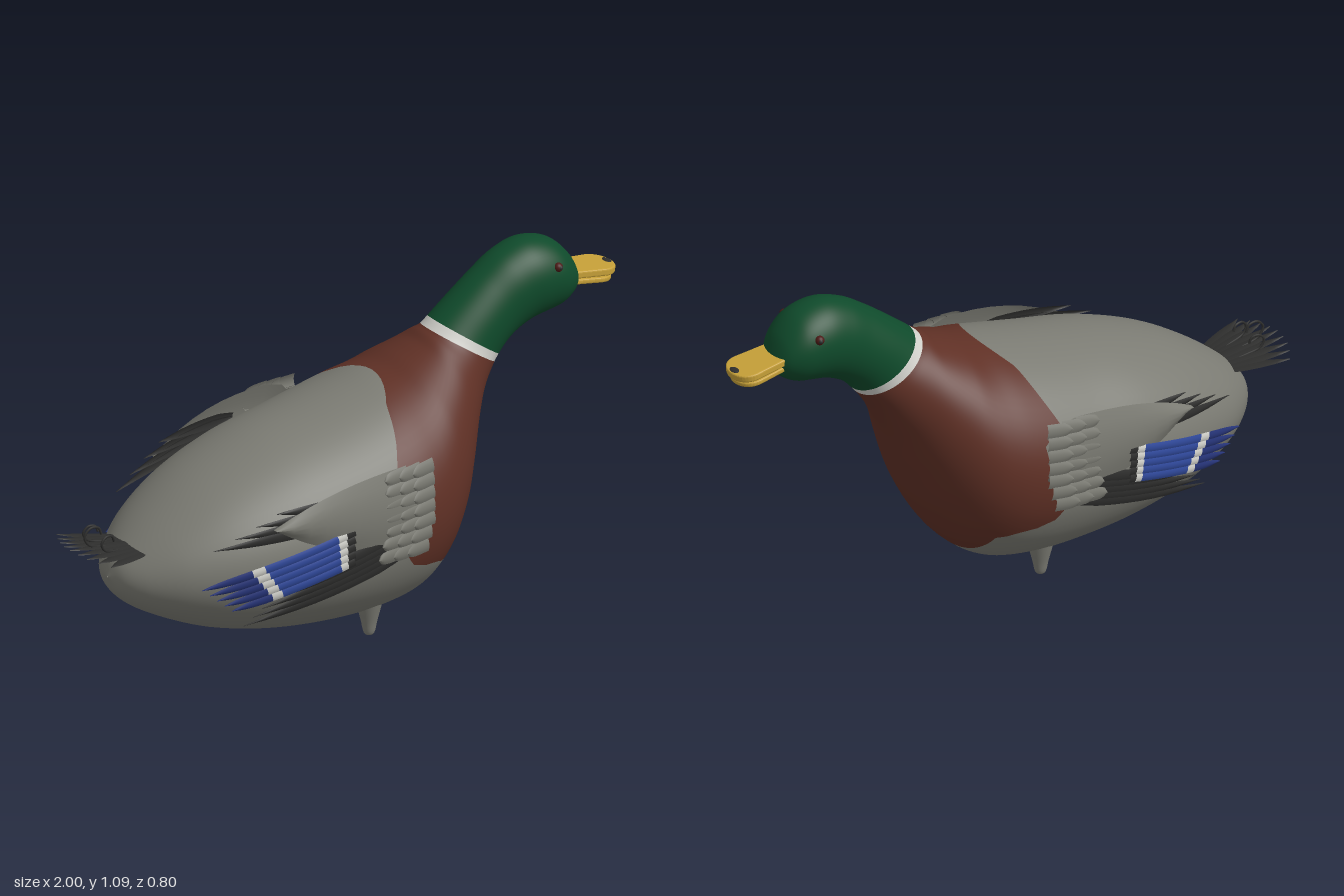
import * as THREE from 'three';

const mat = (name, color) => {
  const m = new THREE.MeshStandardMaterial({ color, side: THREE.DoubleSide });
  m.name = name;
  return m;
};

// Body sections from tail to bill: top x, top y, bottom x, bottom y, half width
const sections = [
  [-.862, .347, -.862, .343, .003], [-.842, .395, -.845, .295, .07], [-.8, .44, -.8, .245, .135],
  [-.7, .52, -.7, .185, .225], [-.55, .61, -.55, .12, .3], [-.35, .685, -.35, .07, .35],
  [-.15, .73, -.13, .045, .367], [0, .765, .03, .047, .37], [.08, .785, .16, .075, .36],
  [.15, .8, .25, .145, .335], [.2, .82, .33, .27, .295], [.24, .835, .39, .42, .245],
  [.275, .85, .44, .56, .195], [.3, .868, .49, .66, .15], [.32, .878, .54, .73, .122],
  [.345, .9, .557, .75, .116], [.42, .96, .59, .785, .111], [.5, 1.02, .63, .81, .108],
  [.58, 1.07, .68, .83, .111], [.67, 1.095, .73, .84, .114], [.76, 1.075, .78, .85, .106],
  [.82, 1.02, .82, .873, .08], [.847, .965, .845, .9, .045], [.856, .934, .856, .928, .003]];
const topLine = new THREE.CatmullRomCurve3(sections.map(s => new THREE.Vector3(s[0], s[1], 0)));
const lowLine = new THREE.CatmullRomCurve3(sections.map(s => new THREE.Vector3(s[2], s[3], s[4])));
const LAST = sections.length - 1;

// Point on the body skin at section number u and angle a
function skin(u, a) {
  const t = topLine.getPoint(u / LAST), b = lowLine.getPoint(u / LAST);
  const k = (1 + Math.sin(a)) / 2;
  return [b.x + (t.x - b.x) * k, b.y + (t.y - b.y) * k, b.z * Math.cos(a)];
}

function loft(from, to, steps, around = 72) {
  const pos = [], idx = [];
  for (let i = 0; i <= steps; i++) {
    for (let j = 0; j < around; j++) {
      const a = j / around * Math.PI * 2, u0 = from(a);
      pos.push(...skin(u0 + (to(a) - u0) * i / steps, a));
      if (i === steps) continue;
      const p = i * around + j, q = i * around + (j + 1) % around;
      idx.push(p, p + around, q + around, p, q + around, q);
    }
  }
  const g = new THREE.BufferGeometry();
  g.setAttribute('position', new THREE.Float32BufferAttribute(pos, 3));
  g.setIndex(idx);
  g.computeVertexNormals();
  return g;
}

// Edge of the breast patch: [sine of angle, x]
const edge = [[-1, .22], [-.64, .2], [-.48, .14], [-.36, .04], [-.2, 0], [0, -.02], [.5, -.01], [.72, .03], [.9, .06], [1, .115]];
function breastEdge(a) {
  const s = Math.sin(a);
  let i = 0;
  while (i < edge.length - 2 && s > edge[i + 1][0]) i++;
  const [p, q] = [edge[i], edge[i + 1]];
  const x = p[1] + (q[1] - p[1]) * (s - p[0]) / (q[0] - p[0]);
  let lo = 4, hi = 12;
  for (let k = 0; k < 24; k++) {
    const mid = (lo + hi) / 2;
    if (skin(mid, a)[0] < x) lo = mid; else hi = mid;
  }
  return lo;
}

// Feather outlines: half width along the length
const pointed = s => Math.min(1, .5 + 3 * s) * (1 - s ** 3);
const square = s => 1 - s ** 10;
const rounded = s => Math.sqrt(Math.max(0, 1 - s ** 5));
const shell = s => Math.min(1, Math.sqrt(s * 6 + .2)) * (1 - s ** 2.6);

// Thin feather from a to b in a plane, laid on a surface by place(p, q, lift)
function feather(a, b, w, outline, place, lift = 0, bulge = .004, s0 = 0, s1 = 1) {
  const g = new THREE.PlaneGeometry(1, 1, 10, 6), P = g.attributes.position;
  const dx = b[0] - a[0], dy = b[1] - a[1], len = Math.hypot(dx, dy);
  for (let i = 0; i < P.count; i++) {
    const s = s0 + (s1 - s0) * (P.getX(i) + .5), t = P.getY(i) * 2;
    const h = w * outline(s) * t;
    P.setXYZ(i, ...place(a[0] + dx * s - dy / len * h, a[1] + dy * s + dx / len * h, lift + bulge * (1 - t * t)));
  }
  g.computeVertexNormals();
  return g;
}

export function createModel() {
  const root = new THREE.Group();
  root.name = 'duck';
  const grey = mat('grey plumage', 0x7b7b73), brown = mat('chestnut', 0x5f3025), white = mat('white', 0xd0d0ca),
    green = mat('head green', 0x0f4a2b), yellow = mat('bill yellow', 0xc6a038), dark = mat('dark feather', 0x2e2e2d),
    blue = mat('wing blue', 0x2f489a), navy = mat('deep blue', 0x263478), red = mat('eye red brown', 0x4a1a16);
  const add = (parent, name, geo, m) => {
    const mesh = new THREE.Mesh(geo, m);
    mesh.name = name;
    parent.add(mesh);
    return mesh;
  };

  // Body, breast, collar and head share one continuous skin
  add(root, 'body', loft(() => 0, breastEdge, 48), grey);
  add(root, 'breast', loft(breastEdge, () => 14, 36), brown);
  add(root, 'collar', loft(() => 14, () => 15, 3), white);
  add(root, 'head', loft(() => 15, () => LAST, 56), green);

  // Bill: two thin plates with rounded tips
  const bill = new THREE.Group();
  bill.name = 'bill';
  bill.position.set(.8, .957, 0);
  bill.rotation.z = -.13;
  root.add(bill);
  const plate = (len, w, depth) => {
    const s = new THREE.Shape();
    s.moveTo(0, -w * .85);
    s.lineTo(len - .06, -w);
    s.bezierCurveTo(len + .012, -w, len + .012, w, len - .06, w);
    s.lineTo(0, w * .85);
    s.closePath();
    return new THREE.ExtrudeGeometry(s, { depth, bevelThickness: .006, bevelSize: .005, bevelSegments: 3, curveSegments: 20 }).rotateX(Math.PI / 2);
  };
  add(bill, 'upperBill', plate(.2, .062, .012), yellow);
  const lower = add(bill, 'lowerBill', plate(.19, .058, .005), yellow);
  lower.position.y = -.027;
  lower.rotation.z = -.02;
  const nail = add(bill, 'billNail', new THREE.SphereGeometry(1, 16, 10), dark);
  nail.scale.set(.012, .004, .02);
  nail.position.set(.182, .006, 0);

  // Tail fan
  const tail = new THREE.Group();
  tail.name = 'tail';
  root.add(tail);
  for (let i = -4; i <= 4; i++) {
    const spread = Math.abs(i) / 4;
    add(tail, 'tailFeather', feather([-.77, i * .016], [-1 + .05 * spread ** 2, i * .037], .024, pointed,
      (x, z, l) => [x, .432 + (-.78 - x) * .12 + l, z], .002 * (4 - Math.abs(i)), .003), dark);
  }
  // Curled feathers over the tail
  for (const [z, k] of [[-.035, .8], [0, 1], [.035, .8]]) {
    const pts = [[-.8, .435], [-.87, .45], [-.93, .468], [-.947, .5], [-.925, .523], [-.895, .518], [-.885, .495]]
      .map(([x, y]) => new THREE.Vector3(-.8 + (x + .8) * k, .435 + (y - .435) * k, z * (1 + (-.8 - x) * 3)));
    add(tail, 'tailCurl', new THREE.TubeGeometry(new THREE.CatmullRomCurve3(pts), 32, .004, 6), dark);
  }

  for (const side of [1, -1]) {
    // Eye
    const eye = add(root, 'eye', new THREE.SphereGeometry(.015, 16, 12), red);
    eye.position.set(.735, 1.015, side * .1);
    const pupil = add(root, 'pupil', new THREE.SphereGeometry(.008, 12, 8), dark);
    pupil.position.set(.737, 1.016, side * .109);

    // Stub leg
    const profile = [[0, 0], [.012, .003], [.019, .015], [.025, .045], [.035, .085], [.046, .13]].map(p => new THREE.Vector2(...p));
    const leg = add(root, 'leg', new THREE.LatheGeometry(new THREE.SplineCurve(profile).getPoints(16), 20), grey);
    leg.position.set(-.018, .003, side * .18);

    // Wing, laid on a gently curved vertical surface
    const wing = new THREE.Group();
    wing.name = side > 0 ? 'leftWing' : 'rightWing';
    root.add(wing);
    const place = (x, y, l) => [x, y, side * (.385 - .37 * (x + .1) ** 2 - .3 * (y - .45) ** 2 + l)];

    add(wing, 'wingShell', feather([.08, .505], [-.47, .525], .132, shell, place, -.004, .018), grey);
    for (let i = 0; i < 5; i++) {
      add(wing, 'primaryFeather', feather([0, .35 + .022 * i], [-.55 + .025 * i, .205 + .028 * i], .021, pointed, place, -.012 + .002 * i), dark);
    }
    for (let i = 0; i < 4; i++) {
      add(wing, 'upperFeather', feather([-.15, .53 + .012 * i], [-.65 + .065 * i, .475 + .032 * i], .022, pointed, place, -.008 - .002 * i), dark);
    }
    // Blue wing patch with two white bars
    for (let i = 0; i < 5; i++) {
      const t = i / 4;
      for (const [s0, s1, m, name] of [[0, .06, dark, 'patchRoot'], [.06, .12, white, 'whiteBar'], [.12, .61, blue, 'bluePatch'],
        [.61, .69, white, 'whiteBar'], [.69, 1, navy, 'blueTip']]) {
        add(wing, name, feather([-.21, .375 + .1 * t], [-.6 - .09 * t, .272 + .08 * t], .0145, square, place, .008, .004, s0, s1), m);
      }
    }
    // Overlapping shoulder feathers
    for (let c = 0; c < 3; c++) {
      for (let r = 0; r < 7; r++) {
        const x = .085 - .05 * c - (r < 2 ? .012 * (2 - r) : 0), y = .365 + .043 * r;
        add(wing, 'shoulderFeather', feather([x, y], [x - .085, y - .008], .0235, rounded, place, .014 - .003 * c, .006), grey);
      }
    }
  }
  return root;
}
